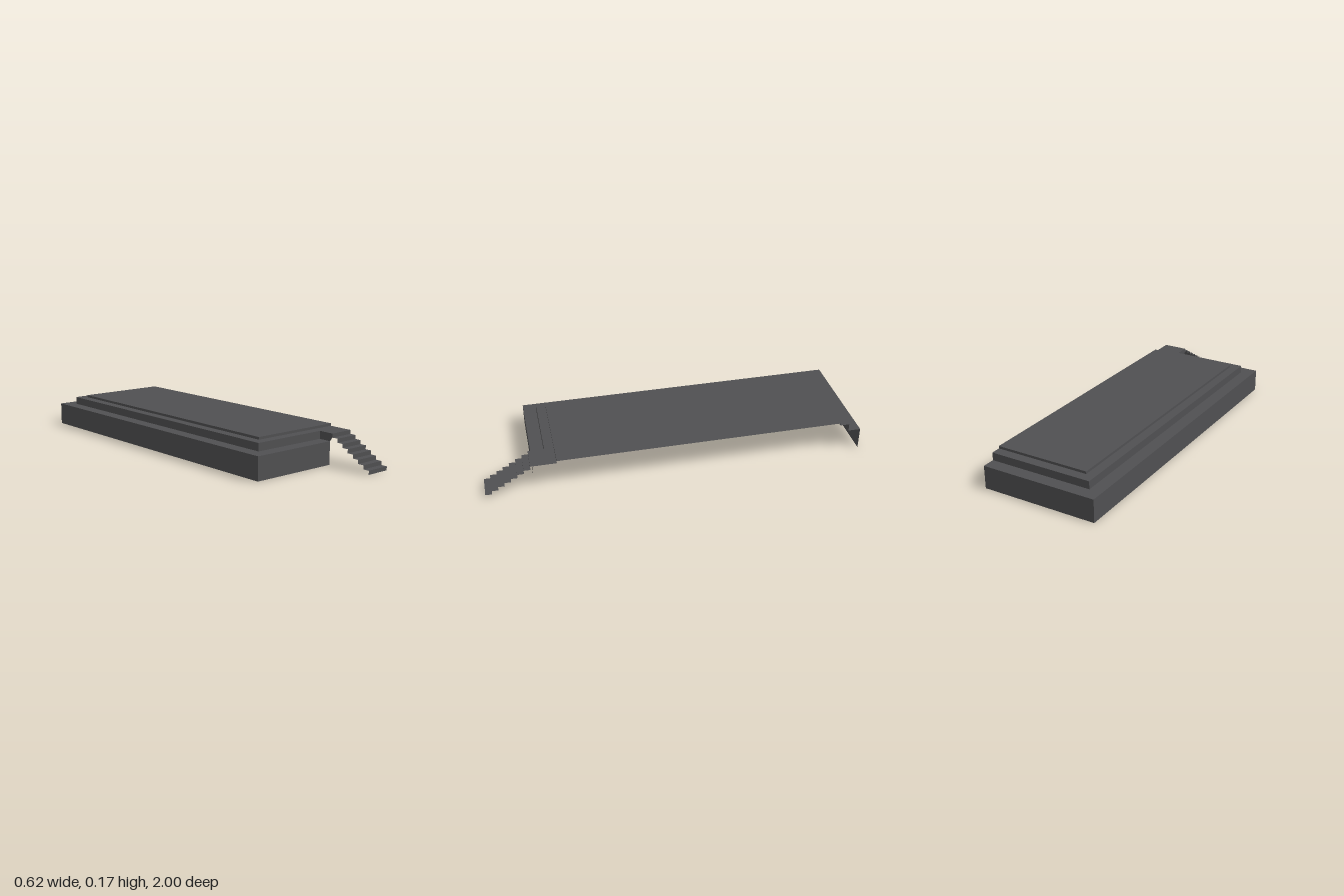
import * as THREE from 'three';

const X = 0.311;              // half width; the +x side is open
const STAIR_X = 0.177;        // inner edge of the stair
const LEDGE_Y = 0.121, DECK_Y = 0.162, TOP_Y = 0.175;

// Open sheet stretched across rows of [x, y, z] points, with flat facets
function sheet(rows) {
  const pos = [];
  for (let r = 0; r < rows.length - 1; r++) {
    for (let i = 0; i < rows[r].length - 1; i++) {
      const a = rows[r][i], b = rows[r][i + 1];
      const c = rows[r + 1][i], d = rows[r + 1][i + 1];
      pos.push(...a, ...c, ...d, ...a, ...d, ...b);
    }
  }
  const geo = new THREE.BufferGeometry();
  geo.setAttribute('position', new THREE.Float32BufferAttribute(pos, 3));
  geo.computeVertexNormals();
  return geo;
}

export function createModel() {
  const group = new THREE.Group();
  const gray = new THREE.MeshStandardMaterial({ color: 0x505052, side: THREE.DoubleSide });
  gray.name = 'dark gray';

  const add = (name, geo) => {
    const mesh = new THREE.Mesh(geo, gray);
    mesh.name = name;
    group.add(mesh);
  };

  // Three-sided outline: front, left edge, back
  const outline = (y, endX, left, front, back) => [
    [endX, y, front], [left, y, front], [left, y, back], [X, y, back],
  ];
  const outer = y => outline(y, STAIR_X, -X, 0.748, -1);
  const tier = y => outline(y, STAIR_X, -0.244, 0.679, -0.933);
  const slab = y => outline(y, X, -0.195, 0.629, -0.883);

  // Stepped platform shell
  add('baseWall', sheet([outer(0), outer(LEDGE_Y)]));
  add('ledge', sheet([outer(LEDGE_Y), tier(LEDGE_Y)]));
  add('tierWall', sheet([tier(LEDGE_Y), tier(DECK_Y)]));
  add('deckRim', sheet([tier(DECK_Y), slab(DECK_Y)]));
  add('slabEdge', sheet([slab(DECK_Y), slab(TOP_Y)]));
  const [fr, fl, bl, br] = slab(TOP_Y);
  add('slabTop', sheet([[fr, fl], [br, bl]]));

  // Stair: thin folded sheet of risers and treads
  const steps = 8, landingZ = 0.763;
  const rise = DECK_Y / steps, run = (1 - landingZ) / (steps - 1);
  const row = (y, z) => [[X, y, z], [STAIR_X, y, z]];
  const rows = [];
  for (let i = 0; i < steps; i++) {
    const z = 1 - i * run;
    rows.push(row(i * rise, z), row((i + 1) * rise, z));
  }
  add('stair', sheet(rows));

  // Landing joining the stair to the deck
  add('landing', sheet([
    row(DECK_Y, landingZ),
    [[X, DECK_Y, 0.629], [STAIR_X, DECK_Y, 0.679]],
  ]));

  // Side plate of the landing, drawn in (z, y)
  const side = new THREE.ShapeGeometry(new THREE.Shape([
    [0.679, LEDGE_Y], [0.748, LEDGE_Y], [landingZ, DECK_Y - rise],
    [landingZ, DECK_Y], [0.679, DECK_Y],
  ].map(p => new THREE.Vector2(...p))));
  side.rotateY(-Math.PI / 2).translate(STAIR_X, 0, 0);
  add('landingSide', side);

  return group;
}
